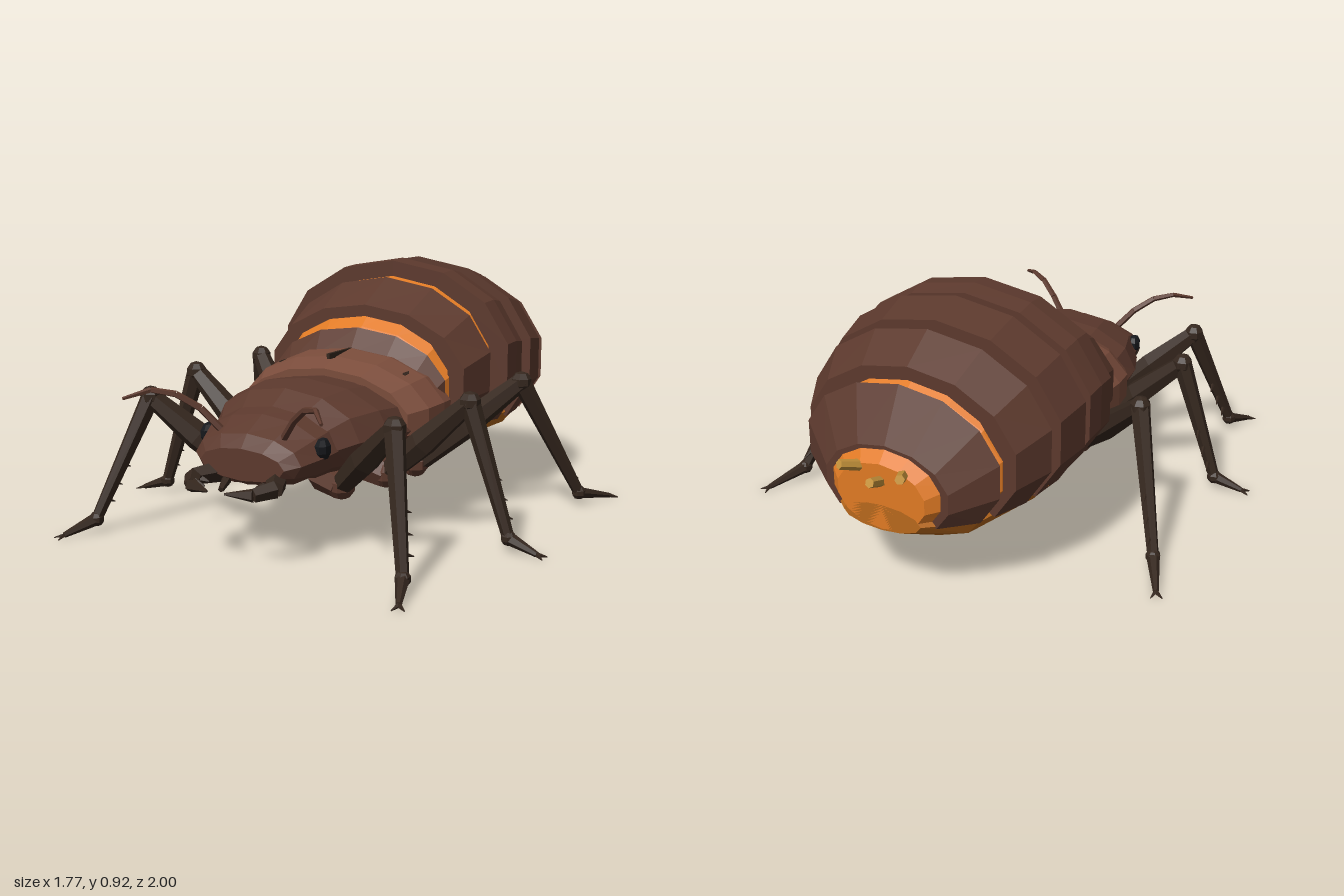
import * as THREE from 'three';

const mat = (color) => new THREE.MeshStandardMaterial({ color, flatShading: true, side: THREE.DoubleSide });
const shell = mat(0x5c392d), light = mat(0x7a4c3b), dark = mat(0x35271e), black = mat(0x16181c);
const orange = mat(0xe07a24), bellyTone = mat(0xb8681c), tan = mat(0xc8953c);
const V = (x, y, z) => new THREE.Vector3(x, y, z);

function add(parent, name, geometry, material) {
  const mesh = new THREE.Mesh(geometry, material);
  mesh.name = name;
  parent.add(mesh);
  return mesh;
}

function toGeometry(triangles) {
  const g = new THREE.BufferGeometry().setFromPoints(triangles);
  g.computeVertexNormals();
  return g;
}

// Quads between neighbouring rings of points
function skin(rings) {
  const t = [];
  for (let i = 0; i < rings.length - 1; i++) {
    for (let j = 0; j < rings[i].length - 1; j++) {
      const a = rings[i][j], b = rings[i][j + 1], c = rings[i + 1][j + 1], d = rings[i + 1][j];
      t.push(a, b, c, a, c, d);
    }
  }
  return t;
}

// Closed body from elliptical sections [z, halfWidth, top, bottom], front to back
function loft(sections, n = 14) {
  const rings = sections.map(([z, w, top, bot]) => Array.from({ length: n + 1 }, (_, j) => {
    const a = (j % n) / n * Math.PI * 2;
    return V(Math.sin(a) * w, (top + bot) / 2 + Math.cos(a) * (top - bot) / 2, z);
  }));
  const t = skin(rings);
  const first = rings[0], last = rings[rings.length - 1];
  for (let j = 1; j < n - 1; j++) t.push(first[0], first[j + 1], first[j], last[0], last[j], last[j + 1]);
  return toGeometry(t);
}

// Arched plate with thickness, reaching k of 14 steps down each side
function plate(sections, k, inset = 0.9) {
  const lowest = Math.cos(k / 7 * Math.PI);
  const ring = ([z, w, top, bot], s) => Array.from({ length: 2 * k + 1 }, (_, j) => {
    const a = (j - k) / 7 * Math.PI, ry = (top - bot) / (1 - lowest);
    return V(Math.sin(a) * w * s, top - ry + Math.cos(a) * ry * s, z);
  });
  const outer = sections.map((s) => ring(s, 1)), inner = sections.map((s) => ring(s, inset));
  const t = skin([inner[0], ...outer, inner[inner.length - 1]]);
  for (let i = 0; i < outer.length - 1; i++) {
    for (const j of [0, 2 * k]) {
      const a = outer[i][j], b = outer[i + 1][j], c = inner[i + 1][j], d = inner[i][j];
      if (j) t.push(a, d, c, a, c, b);
      else t.push(a, b, c, a, c, d);
    }
  }
  return toGeometry(t);
}

// Tapered rod between two points
function rod(parent, name, a, b, r1, r2, material, sides = 6) {
  const m = add(parent, name, new THREE.CylinderGeometry(r2, r1, a.distanceTo(b), sides), material);
  m.position.copy(a).lerp(b, 0.5);
  m.quaternion.setFromUnitVectors(V(0, 1, 0), b.clone().sub(a).normalize());
  return m;
}

function ball(parent, name, p, r, material) {
  const m = add(parent, name, new THREE.SphereGeometry(r, 7, 5), material);
  m.position.copy(p);
  return m;
}

function chain(parent, name, points, radii, material, sides = 6) {
  for (let i = 0; i < points.length - 1; i++) rod(parent, name, points[i], points[i + 1], radii[i], radii[i + 1], material, sides);
}

function leg(name, s, hip, trochanter, knee, ankle, tip) {
  const g = new THREE.Group();
  g.name = name;
  const [h, c, k, a, t] = [hip, trochanter, knee, ankle, tip].map(([x, y, z]) => V(x * s, y, z));
  rod(g, 'coxa', h, c, 0.065, 0.05, shell);
  ball(g, 'hipJoint', c, 0.05, shell);
  const mid = c.clone().lerp(k, 0.45);
  chain(g, 'femur', [c, mid, k], [0.04, 0.052, 0.034], dark);
  ball(g, 'kneeJoint', k, 0.04, dark);
  rod(g, 'tibia', k, a, 0.036, 0.021, dark);
  ball(g, 'ankleJoint', a, 0.028, dark);
  rod(g, 'foot', a, t, 0.024, 0.01, dark);
  // Spines down the shin
  for (const f of [0.55, 0.7, 0.84]) {
    const p = k.clone().lerp(a, f);
    rod(g, 'spine', p, p.clone().add(V(0.012 * s, -0.025, -0.065)), 0.012, 0.001, dark, 4);
  }
  // Forked claw
  const d = t.clone().sub(a).setY(0).normalize();
  for (const e of [-1, 1]) {
    const end = t.clone().addScaledVector(d, 0.03).add(V(-d.z * e * 0.02, 0, d.x * e * 0.02));
    rod(g, 'claw', t, end.setY(0.004), 0.009, 0.002, dark, 4);
  }
  return g;
}

export function createModel() {
  const model = new THREE.Group();
  model.name = 'insect';

  // Abdomen and belly
  add(model, 'abdomen', loft([
    [0.12, 0.29, 0.56, 0.25], [0.04, 0.36, 0.69, 0.23], [-0.1, 0.41, 0.81, 0.22], [-0.25, 0.44, 0.86, 0.21],
    [-0.42, 0.45, 0.87, 0.21], [-0.6, 0.42, 0.81, 0.21], [-0.75, 0.36, 0.7, 0.22], [-0.85, 0.27, 0.6, 0.24],
    [-0.935, 0.17, 0.51, 0.27]]), orange);
  add(model, 'belly', loft([
    [0.22, 0.16, 0.29, 0.235], [0.06, 0.3, 0.38, 0.215], [-0.2, 0.39, 0.44, 0.2], [-0.5, 0.4, 0.44, 0.195],
    [-0.8, 0.29, 0.4, 0.2], [-0.935, 0.15, 0.36, 0.265]], 12), bellyTone);

  // Overlapping back plates
  [
    [[0.13, 0.35, 0.6, 0.34], [0.07, 0.38, 0.69, 0.34]],
    [[0.015, 0.43, 0.77, 0.33], [-0.15, 0.46, 0.86, 0.32]],
    [[-0.2, 0.51, 0.92, 0.31], [-0.28, 0.51, 0.925, 0.31], [-0.355, 0.5, 0.91, 0.3]],
    [[-0.415, 0.51, 0.92, 0.3], [-0.56, 0.485, 0.88, 0.3]],
    [[-0.61, 0.475, 0.865, 0.3], [-0.745, 0.41, 0.78, 0.3]],
    [[-0.8, 0.38, 0.74, 0.3], [-0.9, 0.24, 0.56, 0.3]],
  ].forEach((s, i) => add(model, 'backPlate' + (i + 1), plate(s, 5, 0.84), shell));

  // Tail pegs
  for (const s of [-1, 0, 1]) {
    const y = s ? 0.49 : 0.45;
    rod(model, 'tailPeg', V(s * 0.07, y - 0.015, -0.9), V(s * 0.115, y + 0.02, -0.995), 0.021, 0.017, tan);
  }

  // Thorax and head
  add(model, 'rearThorax', loft([[0.32, 0.31, 0.53, 0.22], [0.14, 0.34, 0.57, 0.21], [0, 0.3, 0.55, 0.23]], 12), shell);
  add(model, 'shield', plate([
    [0.31, 0.355, 0.57, 0.36], [0.23, 0.4, 0.605, 0.36], [0.13, 0.41, 0.62, 0.36], [0.06, 0.4, 0.61, 0.36]], 4, 0.85), light);
  add(model, 'frontThorax', loft([
    [0.64, 0.25, 0.49, 0.235], [0.56, 0.3, 0.54, 0.22], [0.43, 0.345, 0.555, 0.21], [0.28, 0.355, 0.54, 0.21]], 12), shell);
  add(model, 'head', loft([
    [0.825, 0.17, 0.38, 0.27], [0.79, 0.215, 0.425, 0.25], [0.7, 0.25, 0.475, 0.23], [0.6, 0.26, 0.5, 0.23]], 12), shell);
  add(model, 'shieldSeam', new THREE.BoxGeometry(0.012, 0.02, 0.16), dark).position.set(0, 0.61, 0.2);

  for (const s of [-1, 1]) {
    const side = new THREE.Group();
    side.name = s > 0 ? 'leftSide' : 'rightSide';
    model.add(side);
    const P = (x, y, z) => V(x * s, y, z);

    const groove = add(side, 'shieldGroove', new THREE.BoxGeometry(0.012, 0.016, 0.13), dark);
    groove.position.copy(P(0.265, 0.55, 0.13));
    groove.rotation.z = -0.6 * s;

    const eye = ball(side, 'eye', P(0.235, 0.38, 0.69), 0.04, black);
    eye.scale.set(0.65, 1, 0.9);

    chain(side, 'antenna', [P(0.13, 0.42, 0.76), P(0.19, 0.49, 0.79), P(0.26, 0.54, 0.835), P(0.33, 0.555, 0.88), P(0.395, 0.53, 0.95)],
      [0.014, 0.013, 0.012, 0.01, 0.006], shell, 5);

    // Curved jaw with inner teeth
    chain(side, 'jaw', [P(0.12, 0.28, 0.79), P(0.165, 0.275, 0.87), P(0.125, 0.265, 0.935), P(0.035, 0.265, 0.968)],
      [0.038, 0.03, 0.024, 0.004], dark, 5);
    for (const [x, z] of [[0.15, 0.86], [0.13, 0.91]]) rod(side, 'jawTooth', P(x, 0.27, z), P(x - 0.05, 0.265, z + 0.01), 0.018, 0.002, dark, 4);
    rod(side, 'palp', P(0.08, 0.26, 0.8), P(0.06, 0.24, 0.86), 0.018, 0.01, dark, 5);

    side.add(
      leg('frontLeg', s, [0.13, 0.25, 0.53], [0.22, 0.22, 0.55], [0.5, 0.48, 0.68], [0.625, 0.05, 0.85], [0.675, 0.012, 0.965]),
      leg('middleLeg', s, [0.15, 0.25, 0.32], [0.26, 0.21, 0.31], [0.585, 0.505, 0.305], [0.74, 0.05, 0.31], [0.85, 0.012, 0.32]),
      leg('hindLeg', s, [0.15, 0.25, 0.11], [0.26, 0.2, 0.09], [0.585, 0.505, -0.13], [0.74, 0.05, -0.35], [0.81, 0.012, -0.5]));
  }
  return model;
}
